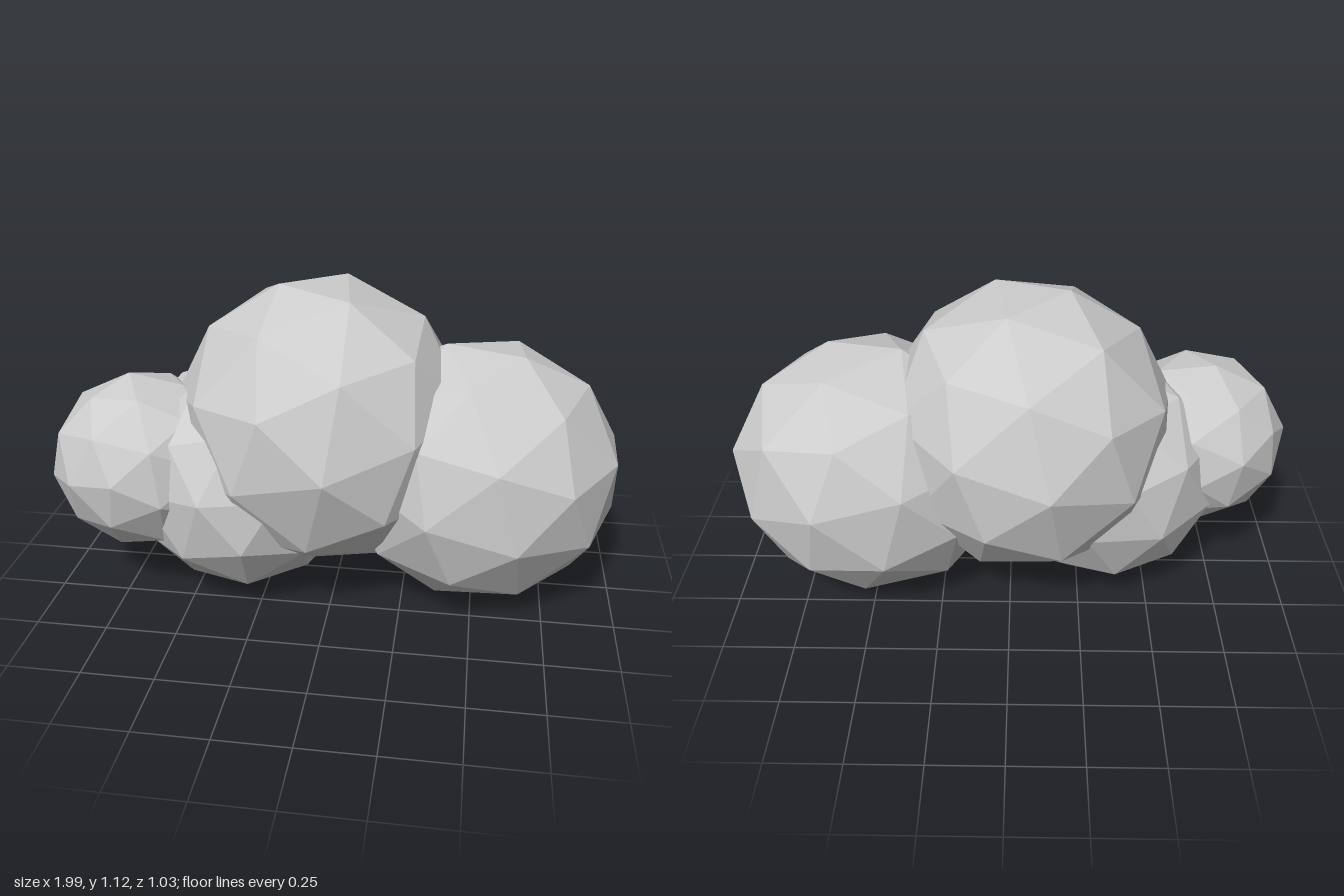
import * as THREE from 'three';

const cloudGrey = new THREE.MeshStandardMaterial({ color: 0xcccccc });
cloudGrey.name = 'cloud grey';

// Each puff: centre, radii, direction of one five-sided corner and of a corner next to it
const puffs = [
  { name: 'centrePuff', centre: [-0.06, 0.63, 0], radii: [0.525, 0.52, 0.522], corner: [-0.27, 0.96, 0.06], next: [0.15, 0.95, -0.33] },
  { name: 'leftPuff', centre: [0.495, 0.468, -0.01], radii: [0.51, 0.475, 0.455], corner: [0.98, 0.24, -0.24], next: [0.97, -0.27, -0.04] },
  { name: 'rightPuff', centre: [-0.34, 0.43, 0.05], radii: [0.42, 0.42, 0.42], corner: [0.07, -1, 0.15], next: [-0.5, -0.8, 0.4] },
  { name: 'rightEndPuff', centre: [-0.68, 0.5, 0.14], radii: [0.33, 0.315, 0.315], corner: [-0.07, 0.1, 1], next: [-0.6, 0, 0.8] },
];

// Rotation frame whose z runs along the first direction, with the second in its x-z plane
function frame(along, toward) {
  const z = new THREE.Vector3(...along).normalize();
  const y = new THREE.Vector3().crossVectors(z, new THREE.Vector3(...toward)).normalize();
  const x = new THREE.Vector3().crossVectors(y, z);
  return new THREE.Matrix4().makeBasis(x, y, z);
}

// Faceted ball, turned so its corners follow the given directions
const ballFrame = frame([0, 1, (1 + Math.sqrt(5)) / 2], [0, 0, 1]);

function puffGeometry({ centre, radii, corner, next }) {
  const geometry = new THREE.IcosahedronGeometry(1, 1);
  geometry.applyMatrix4(frame(corner, next).multiply(ballFrame.clone().transpose()));
  geometry.scale(...radii);
  geometry.translate(...centre);
  geometry.computeVertexNormals(); // unshared corners give flat facets
  return geometry;
}

export function createModel() {
  const cloud = new THREE.Group();
  cloud.name = 'cloud';
  for (const puff of puffs) {
    const mesh = new THREE.Mesh(puffGeometry(puff), cloudGrey);
    mesh.name = puff.name;
    cloud.add(mesh);
  }
  return cloud;
}
